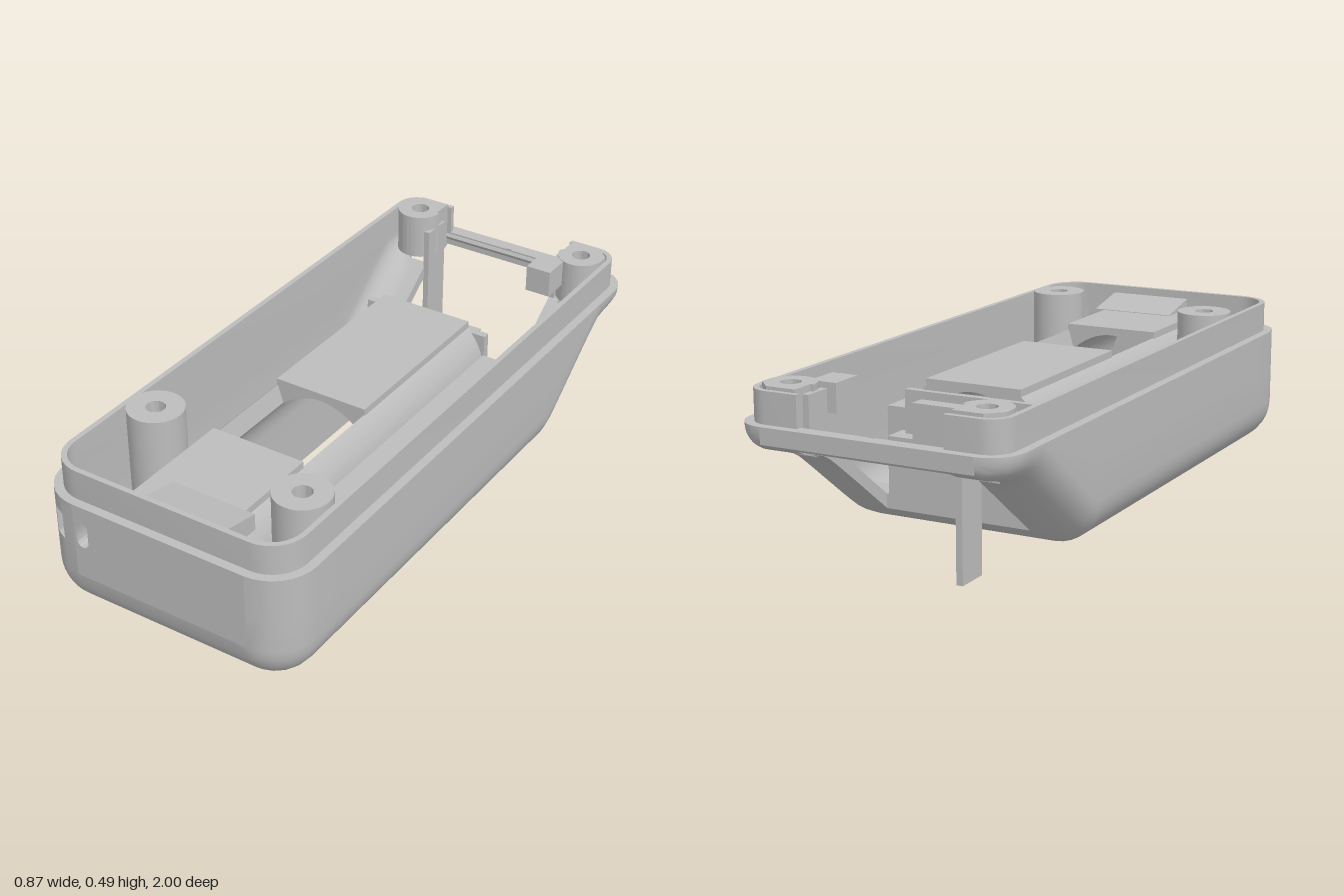
import * as THREE from 'three';
import { toCreasedNormals } from 'three/addons/utils/BufferGeometryUtils.js';

const W = 0.434, RIM = 0.385, WALL = 0.045, RF = 0.14, RB = 0.1;

// underside height along z: flat, then sweeping up at the back
const UNDER = [[-1, 0.345], [-0.985, 0.325], [-0.95, 0.309], [-0.925, 0.304], [-0.85, 0.28],
  [-0.8, 0.245], [-0.7, 0.17], [-0.55, 0.055], [-0.5, 0.018], [-0.46, 0]];
function under(z) {
  for (let k = 1; k < UNDER.length; k++) {
    const [z0, y0] = UNDER[k - 1], [z1, y1] = UNDER[k];
    if (z <= z1) return y0 + (y1 - y0) * (z - z0) / (z1 - z0);
  }
  return 0;
}
const FLAT = [0.255, 0.22, 0.195, 0.11];
const ARC = 8;

// U-shaped cross-section of the tub at z, for the outer or inner skin
function section(z, inner) {
  const t = inner ? WALL : 0;
  const front = Math.max(0, z - (1 - RF)), back = Math.max(0, -(1 - RB) - z);
  const insetF = RF - Math.sqrt(Math.max(0, RF * RF - front * front));
  const insetB = RB - Math.sqrt(Math.max(0, RB * RB - back * back));
  const kF = (RF - t) / RF, kB = (RB - t) / RB;
  const zz = z - front * (1 - kF) + back * (1 - kB);
  const w = W - t - insetF * kF - insetB * kB;
  const b = Math.min(under(z) + (front > 0 ? insetF * kF : 0) + t, RIM - 0.006);
  const r = Math.max(0.002, Math.min(RF - t - insetF * kF, RIM - b - 0.004));
  const half = [];
  for (const f of [1, 0.7755, 0.4286]) half.push([w, b + r + (RIM - b - r) * f]);
  for (let k = 0; k <= ARC; k++) {
    const a = (k / ARC) * Math.PI / 2;
    half.push([w - r + r * Math.cos(a), b + r - r * Math.sin(a)]);
  }
  FLAT.forEach(x => half.push([x, b]));
  const mirror = half.map(([x, y]) => [-x, y]).reverse();
  return half.concat(mirror).map(([x, y]) => new THREE.Vector3(x, y, zz));
}

// openings in the tub: battery slot, rear window, screw recesses, corner vent
const RECESSES = [[-0.302, 0.6], [0.302, 0.72], [-0.31, -0.88], [0.31, -0.88]];
function isOpening({ x, y, z }) {
  const ax = Math.abs(x);
  if (y < 0.1 && z > -0.4 && ((ax < 0.195 && z < 0.917) || (ax < 0.11 && z < 0.958))) return true;
  if (z > -0.985 && z < -0.54 && x > -0.256 && x < 0.221) return true;
  if ((y < 0.1 || z < -0.8) && RECESSES.some(([cx, cz]) => Math.hypot(x - cx, z - cz) < 0.04)) return true;
  return x < -0.335 && x > -0.378 && z > 0.95 && y > 0.245 && y < 0.33;
}

function tubGeometry() {
  const zs = [-1, -0.995, -0.985, -0.97, -0.95, -0.925, -0.9, -0.86, -0.835, -0.8, -0.75, -0.7, -0.62, -0.54,
    -0.5, -0.46, -0.4, 0, 0.555, 0.58, 0.62, 0.645, 0.675, 0.7, 0.74, 0.765, 0.86, 0.89, 0.917, 0.94, 0.958,
    0.9713, 0.983, 0.9927, 1];
  const out = zs.map(z => section(z, false)), inn = zs.map(z => section(z, true));
  const ni = zs.length - 1, nj = out[0].length - 1, pos = [];
  const quad = (a, b, c, d) => [a, b, c, a, c, d].forEach(p => pos.push(p.x, p.y, p.z));
  const open = (i, j) => {
    if (i < 0 || j < 0 || i >= ni || j >= nj) return false;
    const c = new THREE.Vector3();
    [out[i][j], out[i + 1][j], out[i + 1][j + 1], out[i][j + 1]].forEach(p => c.addScaledVector(p, 0.25));
    return isOpening(c);
  };
  for (let i = 0; i < ni; i++) for (let j = 0; j < nj; j++) {
    const ring = [[i, j], [i + 1, j], [i + 1, j + 1], [i, j + 1]];
    const o = ring.map(([a, b]) => out[a][b]), n = ring.map(([a, b]) => inn[a][b]);
    if (!open(i, j)) {
      quad(...o);
      quad(n[3], n[2], n[1], n[0]);
      continue;
    }
    // side walls of the opening
    const next = [[i, j - 1], [i + 1, j], [i, j + 1], [i - 1, j]];
    next.forEach(([a, b], k) => {
      const m = (k + 1) % 4;
      if (!open(a, b)) quad(o[k], o[m], n[m], n[k]);
    });
  }
  const g = new THREE.BufferGeometry();
  g.setAttribute('position', new THREE.Float32BufferAttribute(pos, 3));
  return toCreasedNormals(g, 0.6);
}

// plan outline, starting and ending at the back with a gap of half-width gap
function plan(inset, gap) {
  const w = W - inset, l = 1 - inset, pts = [new THREE.Vector2(gap, l)];
  const corners = [[1, 1, RB, 90], [1, -1, RF, 0], [-1, -1, RF, -90], [-1, 1, RB, -180]];
  for (const [sx, sy, R, start] of corners) {
    const r = R - inset;
    for (let k = 0; k <= 8; k++) {
      const a = THREE.MathUtils.degToRad(start - k * 90 / 8);
      pts.push(new THREE.Vector2(sx * (w - r) + r * Math.cos(a), sy * (l - r) + r * Math.sin(a)));
    }
  }
  pts.push(new THREE.Vector2(-gap, l));
  return pts;
}

const polygon = pts => new THREE.Shape(pts.map(p => new THREE.Vector2(...p)));
const extrude = (shape, depth) =>
  toCreasedNormals(new THREE.ExtrudeGeometry(shape, { depth, bevelEnabled: false, curveSegments: 20 }), 0.6);

export function createModel() {
  const model = new THREE.Group();
  model.name = 'enclosureHalf';
  const plastic = new THREE.MeshStandardMaterial({ color: 0xbcbcbc, side: THREE.DoubleSide });
  plastic.name = 'greyPlastic';
  const add = (name, geo) => {
    const m = new THREE.Mesh(geo, plastic);
    m.name = name;
    model.add(m);
    return m;
  };
  const box = (name, x0, x1, y0, y1, z0, z1) =>
    add(name, new THREE.BoxGeometry(x1 - x0, y1 - y0, z1 - z0))
      .position.set((x0 + x1) / 2, (y0 + y1) / 2, (z0 + z1) / 2);

  // tub and its end walls
  add('tub', tubGeometry());
  const fw = W - RF;
  const wall = polygon([[-fw, RF], [fw, RF], [fw, RIM], [-fw, RIM]]);
  const vent = new THREE.Path();
  vent.absarc(-0.265, 0.31, 0.02, 0, Math.PI);
  vent.absarc(-0.265, 0.265, 0.02, Math.PI, Math.PI * 2);
  wall.holes.push(vent);
  add('frontWall', extrude(wall, WALL)).position.z = 1 - WALL;
  box('backBar', -0.334, 0.334, 0.335, RIM, -1, -0.96);

  // flat rim and raised lip, open at the back
  const rim = new THREE.Shape(plan(0, 0.01).concat(plan(WALL, 0.01).reverse()));
  add('rim', new THREE.ShapeGeometry(rim).rotateX(-Math.PI / 2)).position.y = RIM;
  const lip = new THREE.Shape(plan(0.028, 0.23).concat(plan(WALL, 0.23).reverse()));
  add('lip', extrude(lip, 0.1).rotateX(-Math.PI / 2)).position.y = 0.38;

  // front screw posts with a counterbore below
  const post = (name, shape, hole, x, z, y0, y1) => {
    shape.holes.push(new THREE.Path().absarc(0, 0, hole, 0, Math.PI * 2));
    add(name, extrude(shape, y1 - y0).rotateX(-Math.PI / 2)).position.set(x, y0, z);
  };
  const disc = r => new THREE.Shape().absarc(0, 0, r, 0, Math.PI * 2);
  for (const [x, z] of [[-0.3, 0.605], [0.294, 0.72]]) {
    post('screwPost', disc(0.087), 0.03, x, z, 0.12, 0.49);
    post('screwRecess', disc(0.075), 0.05, x, z, 0.045, 0.12);
  }

  // rear screw posts, squared off into the corners
  for (const s of [-1, 1]) {
    const corner = new THREE.Shape();
    corner.moveTo(s * 0.075, 0);
    corner.lineTo(s * 0.075, 0.03);
    corner.lineTo(s * 0.03, 0.075);
    corner.lineTo(s * -0.065, 0.075);
    corner.lineTo(s * -0.065, 0);
    corner.absarc(0, 0, 0.075, s > 0 ? Math.PI : 0, s > 0 ? Math.PI * 2 : -Math.PI, s < 0);
    post('rearScrewPost', corner, 0.03, s * 0.31, -0.88, 0.34, 0.49);
  }

  // battery tunnel: side walls throughout, arched roof in two lengths
  for (const s of [-1, 1]) {
    const side = new THREE.Shape();
    side.moveTo(s * 0.195, 0.03);
    side.lineTo(s * 0.22, 0.03);
    side.lineTo(s * 0.22, 0.24);
    side.quadraticCurveTo(s * 0.22, 0.35, s * 0.155, 0.4);
    side.lineTo(s * 0.137, 0.34);
    side.quadraticCurveTo(s * 0.195, 0.285, s * 0.195, 0.2);
    add('tunnelSide', extrude(side, 1.35)).position.z = -0.41;
  }
  const roof = polygon([[0.137, 0.338], [0.158, 0.345], [0.158, 0.42], [-0.158, 0.42], [-0.158, 0.345]]);
  roof.lineTo(-0.137, 0.338);
  roof.quadraticCurveTo(0, 0.452, 0.137, 0.338);
  add('tunnelRoofBack', extrude(roof, 0.61)).position.z = -0.41;
  add('tunnelRoofFront', extrude(roof, 0.39)).position.z = 0.52;
  box('contactSeat', -0.17, -0.09, 0.3, 0.37, 0.9, 0.957);
  box('contactClip', -0.17, -0.1, 0.37, 0.4, 0.92, 0.957);

  // ramp rising to the front wall
  const ramp = polygon([[-0.957, 0.37], [-0.8, 0.37], [-0.8, 0.422], [-0.957, 0.455]]);
  add('frontRamp', extrude(ramp, 0.28).rotateY(Math.PI / 2)).position.x = -0.09;

  // bulkhead behind the tunnel
  box('tunnelEnd', -0.22, 0.22, 0.03, 0.385, -0.43, -0.405);
  box('bulkhead', -0.25, 0.25, 0.03, 0.25, -0.48, -0.38);
  box('bulkheadLug', -0.165, 0.165, 0.25, 0.36, -0.48, -0.42);
  box('floorRib', -0.385, 0.385, 0.048, 0.07, -0.48, -0.38);

  // side rail, catch block, hanging strap and the rib opposite it
  box('sideRail', 0.22, 0.3, 0.04, 0.32, -0.4, 0.54);
  box('catchBlock', 0.195, 0.28, 0.4, 0.488, -0.83, -0.72);
  box('strap', -0.257, -0.237, 0, 0.44, -0.925, -0.82);
  box('postRib', 0.225, 0.245, 0.33, 0.47, -0.92, -0.83);
  return model;
}
